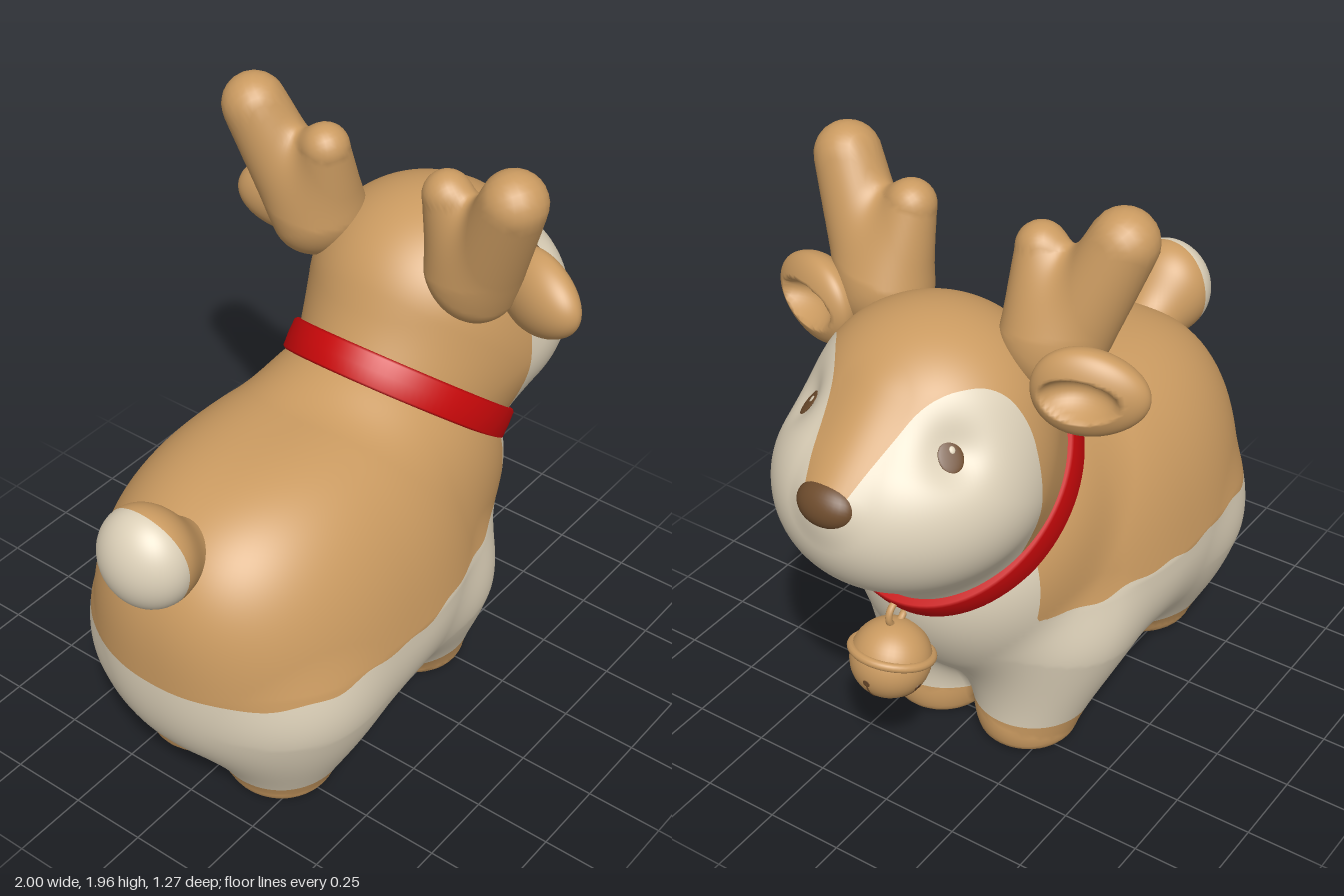
import * as THREE from 'three';

const material = (name, color) => {
  const m = new THREE.MeshStandardMaterial({ color });
  m.name = name;
  return m;
};
const tan = material('tan coat', 0xcb9b61);
const cream = material('cream coat', 0xddd1b9);
const brown = material('dark brown', 0x6e4c2d);
const red = material('red collar', 0xc8080a);

// --- smooth solid fields: negative inside, positive outside ---
const blend = (k, ...d) => d.reduce((a, b) => {
  const h = Math.max(k - Math.abs(a - b), 0) / k;
  return Math.min(a, b) - h * h * k / 4;
});
const oval = (x, y, z, a, b, c) => (Math.hypot(x / a, y / b, z / c) - 1) * Math.min(a, b, c);
// Boxier oval: power p round the plan, power q up the side
const barrel = (x, y, z, a, b, c, p, q) =>
  ((Math.abs(x / a) ** p + Math.abs(z / c) ** p) ** (q / p) + Math.abs(y / b) ** q) ** (1 / q) - 1;
// Tapered limb from point A with radius ra to point B with radius rb
const limb = (x, y, z, [ax, ay, az], ra, [bx, by, bz], rb) => {
  const ux = bx - ax, uy = by - ay, uz = bz - az;
  const t = ((x - ax) * ux + (y - ay) * uy + (z - az) * uz) / (ux * ux + uy * uy + uz * uz);
  const s = Math.min(1, Math.max(0, t));
  return Math.hypot(x - ax - s * ux, y - ay - s * uy, z - az - s * uz) - ra - (rb - ra) * s;
};

// Neck frame, tilted about z; the collar sits in its local xz plane
const TILT = -0.702, NX = Math.cos(TILT), NY = Math.sin(TILT);
const neckOval = (x, y, z, cx, cy, a, b, c) => {
  const u = x - cx, v = y - cy;
  return oval(u * NX + v * NY, -u * NY + v * NX, z, a, b, c);
};

const bodyField = (x, y, z) => {
  const az = Math.abs(z);
  const waist = 1.3 * Math.max(0, 0.55 - y) ** 2 * Math.exp(-(((x + 0.15) / 0.2) ** 2));
  const width = 0.51 * (1 - 0.33 * Math.max(0, y - 0.6) - waist);
  const torso = 0.48 * barrel(x + 0.24, y - 0.6, z, 0.66, 0.55, width, 2.3, y > 0.6 ? 2.75 : 2.5);
  const chest = oval(x - 0.22, y - 0.68, z, 0.385, 0.42, 0.38);
  const neck = neckOval(x, y, z, 0.23, 0.86, 0.43, 0.3, 0.37);
  const front = limb(x, y, az, [0.16, 0.42, 0.23], 0.215, [0.21, 0.085, 0.168], 0.168);
  const rear = limb(x, y, az, [-0.53, 0.45, 0.24], 0.22, [-0.5, 0.085, 0.168], 0.168);
  const trunk = blend(0.08, torso, chest, neck);
  return -blend(0.04, -blend(0.12, trunk, front, rear), y);
};

const headField = (x, y, z) => {
  const muzzle = oval(x - 0.54, y - 1.15, z, 0.44, 0.335, 0.395);
  const cranium = oval(x - 0.45, y - 1.29, z, 0.36, 0.335, 0.36);
  const bridge = limb(x, y, z, [0.66, 1.42, 0], 0.09, [0.885, 1.235, 0], 0.09);
  const neck = neckOval(x, y, z, 0.37, 1.03, 0.4, 0.4, 0.335);
  const socket = (x - 0.685) ** 2 + (y - 1.36) ** 2 + (Math.abs(z) - 0.235) ** 2;
  return blend(0.06, muzzle, cranium, neck, bridge) + 0.03 * Math.exp(-socket / 0.008);
};

const tailField = (x, y, z) => blend(0.1,
  oval(x + 0.878, y - 1.06, z, 0.115, 0.155, 0.145),
  limb(x, y, z, [-0.85, 1.04, 0], 0.1, [-0.74, 0.98, 0], 0.1));

const antlerField = (side) => (x, y, z) => blend(0.08,
  limb(x, y, z * side, [0.275, 1.5, 0.31], 0.125, [0.2, 1.86, 0.468], 0.1),
  limb(x, y, z * side, [0.28, 1.56, 0.265], 0.125, [0.23, 1.785, 0.222], 0.075));

// Walk inwards along a ray until the field's outermost surface is met
function hit(field, c, d, reach) {
  let t = reach;
  for (let i = 0; i < 600 && t > 0; i++) {
    const f = field(c.x + d.x * t, c.y + d.y * t, c.z + d.z * t);
    if (f < 0.0003) break;
    t -= Math.max(0.8 * f, 0.0004);
  }
  return c.clone().addScaledVector(d, t);
}
function slope(field, { x, y, z }, e = 0.004) {
  return new THREE.Vector3(
    field(x + e, y, z) - field(x - e, y, z),
    field(x, y + e, z) - field(x, y - e, z),
    field(x, y, z + e) - field(x, y, z - e)).normalize();
}

// Shrink a sphere onto a field
function wrap(field, centre, reach, cols, rows) {
  const g = new THREE.SphereGeometry(1, cols, rows);
  g.deleteAttribute('uv');
  const pos = g.attributes.position, nor = g.attributes.normal, d = new THREE.Vector3();
  for (let i = 0; i < pos.count; i++) {
    const p = hit(field, centre, d.fromBufferAttribute(pos, i).normalize(), reach);
    const n = slope(field, p);
    pos.setXYZ(i, p.x, p.y, p.z);
    nor.setXYZ(i, n.x, n.y, n.z);
  }
  return g;
}

// Cut a surface along rule(x, y, z) = 0 and return the [positive, negative] pieces
function split(geometry, rule) {
  const g = geometry.index ? geometry.toNonIndexed() : geometry;
  const P = g.attributes.position.array, N = g.attributes.normal.array;
  return [1, -1].map((sign) => {
    const p = [], n = [];
    for (let i = 0; i < P.length; i += 9) {
      const tri = [0, 3, 6].map((o) => {
        const v = [...P.slice(i + o, i + o + 3), ...N.slice(i + o, i + o + 3)];
        return { v, f: sign * rule(v[0], v[1], v[2]) };
      });
      const poly = [];
      tri.forEach((a, k) => {
        const b = tri[(k + 1) % 3];
        if (a.f >= 0) poly.push(a.v);
        if ((a.f >= 0) !== (b.f >= 0)) {
          const t = a.f / (a.f - b.f);
          poly.push(a.v.map((q, j) => q + (b.v[j] - q) * t));
        }
      });
      for (let k = 1; k + 1 < poly.length; k++)
        for (const v of [poly[0], poly[k], poly[k + 1]]) { p.push(v[0], v[1], v[2]); n.push(v[3], v[4], v[5]); }
    }
    const out = new THREE.BufferGeometry();
    out.setAttribute('position', new THREE.Float32BufferAttribute(p, 3));
    out.setAttribute('normal', new THREE.Float32BufferAttribute(n, 3));
    return out;
  });
}

export function createModel() {
  const model = new THREE.Group();
  model.name = 'fawn';
  const add = (name, geometry, mat, parent = model) => {
    const m = new THREE.Mesh(geometry, mat);
    m.name = name;
    parent.add(m);
    return m;
  };
  const V = (x, y, z) => new THREE.Vector3(x, y, z);

  // Body: dark soles, tan hooves, cream underside, tan back
  const body = wrap(bodyField, V(-0.17, 0.48, 0), 1.5, 190, 130);
  const [upper, soles] = split(body, (x, y) => y - 0.014);
  const [coat, hooves] = split(upper, (x, y) => y - 0.1 - 0.09 * Math.max(0, x) - 0.006 * Math.sin(11 * x));
  const [belly, back] = split(coat, (x, y) =>
    Math.max(0.57 + 0.045 * (x + 0.9) + 0.012 * Math.sin(9 * x) * Math.sin(23 * x) - y, x - 0.415));
  add('soles', soles, brown);
  add('hooves', hooves, tan);
  add('belly', belly, cream);
  add('back', back, tan);

  // Head: cream cheeks rise in a rounded arch over each eye, beside a tan blaze
  const headCentre = V(0.48, 1.16, 0);
  const head = wrap(headField, headCentre, 0.9, 150, 100);
  const [face, crown] = split(head, (x, y, z) => blend(0.07,
    x - 0.475 - 1.5 * Math.max(0, y - 1.32) ** 2,
    Math.max(Math.abs(z) - 0.065 - 0.4 * Math.max(0, y - 1.28), 1.24 - y),
    1.515 - y));
  add('face', face, cream);
  add('crown', crown, tan);
  const nose = add('nose', new THREE.SphereGeometry(1, 32, 20), brown);
  nose.scale.set(0.058, 0.069, 0.096);
  nose.position.set(0.941, 1.252, 0);
  nose.rotation.z = 0.5;

  // Tail with cream tip
  const tail = wrap(tailField, V(-0.86, 1.05, 0), 0.5, 56, 40);
  const [tip, root] = split(tail, (x, y) => -0.865 - 0.9 * (y - 1.06) ** 2 - x);
  add('tailTip', tip, cream);
  add('tailRoot', root, tan);

  // Cupped ear: a ball, rounder behind, with a slit-like hollow in its front (+x) side
  const ear = new THREE.SphereGeometry(1, 64, 48);
  const ep = ear.attributes.position;
  for (let i = 0; i < ep.count; i++) {
    const x = ep.getX(i), y = ep.getY(i), z = ep.getZ(i);
    const r2 = (y / 0.48) ** 2 + ((z + 0.12) / 0.68) ** 2;
    const hollow = x > 0 ? 0.09 * Math.max(0, 1 - r2) ** 0.8 : 0;
    ep.setXYZ(i, (x > 0 ? 0.07 : 0.095) * x - hollow, 0.135 * y * (1 - 0.14 * z), 0.17 * z);
  }
  ear.computeVertexNormals();

  for (const side of [1, -1]) {
    const label = side > 0 ? 'left' : 'right';
    add(label + 'Antler', wrap(antlerField(side), V(0.255, 1.64, 0.32 * side), 0.6, 64, 48), tan);

    const e = add(label + 'Ear', ear, tan);
    e.position.set(0.37, 1.47, 0.475 * side);
    e.rotation.y = -0.35 * side;
    e.scale.z = side;

    // Eye with a small glint
    const p = hit(headField, headCentre, V(0.68, 1.338, 0.217 * side).sub(headCentre).normalize(), 0.8);
    const n = slope(headField, p);
    const eye = new THREE.Group();
    eye.name = label + 'Eye';
    eye.position.copy(p).addScaledVector(n, 0.005);
    eye.lookAt(p.clone().add(n));
    model.add(eye);
    add('iris', new THREE.SphereGeometry(1, 24, 12), brown, eye).scale.set(0.037, 0.046, 0.005);
    const glint = add('glint', new THREE.SphereGeometry(1, 12, 8), cream, eye);
    glint.scale.set(0.009, 0.011, 0.003);
    glint.position.set(0.008, 0.018, 0.004);
  }

  // Collar: an oval band round the tilted neck
  const profile = [[0.36, -0.052], [0.422, -0.052], [0.43, -0.045], [0.432, 0], [0.43, 0.045], [0.422, 0.052], [0.36, 0.052]];
  const collar = add('collar', new THREE.LatheGeometry(profile.map(([r, y]) => new THREE.Vector2(r, y)), 96), red);
  collar.position.set(0.324, 0.978, 0);
  collar.rotation.z = TILT;
  collar.scale.z = 0.84;

  // Bell hanging from the collar
  const bell = new THREE.Group();
  bell.name = 'bell';
  bell.position.set(0.695, 0.538, 0);
  bell.rotation.z = 0.32;
  model.add(bell);
  add('bellBall', new THREE.SphereGeometry(0.124, 40, 28), tan, bell);
  const rim = add('bellRim', new THREE.TorusGeometry(0.122, 0.014, 12, 48), tan, bell);
  rim.rotation.x = Math.PI / 2;
  rim.position.y = 0.022;
  const loop = add('bellLoop', new THREE.TorusGeometry(0.04, 0.011, 10, 28), tan, bell);
  loop.position.set(0.01, 0.15, 0);
  for (const turn of [0, Math.PI / 2]) {
    const slit = add('bellSlit', new THREE.TorusGeometry(0.1225, 0.0035, 8, 32, 2.2), brown, bell);
    slit.rotation.set(0, turn, -Math.PI / 2 - 1.1);
  }
  for (let i = 0; i < 4; i++) {
    const a = i * Math.PI / 2, n = V(Math.cos(a) * 0.89, -0.454, Math.sin(a) * 0.89);
    const hole = add('bellHole', new THREE.CylinderGeometry(0.012, 0.012, 0.006, 16), brown, bell);
    hole.position.copy(n).multiplyScalar(0.122);
    hole.quaternion.setFromUnitVectors(V(0, 1, 0), n.normalize());
  }
  return model;
}
